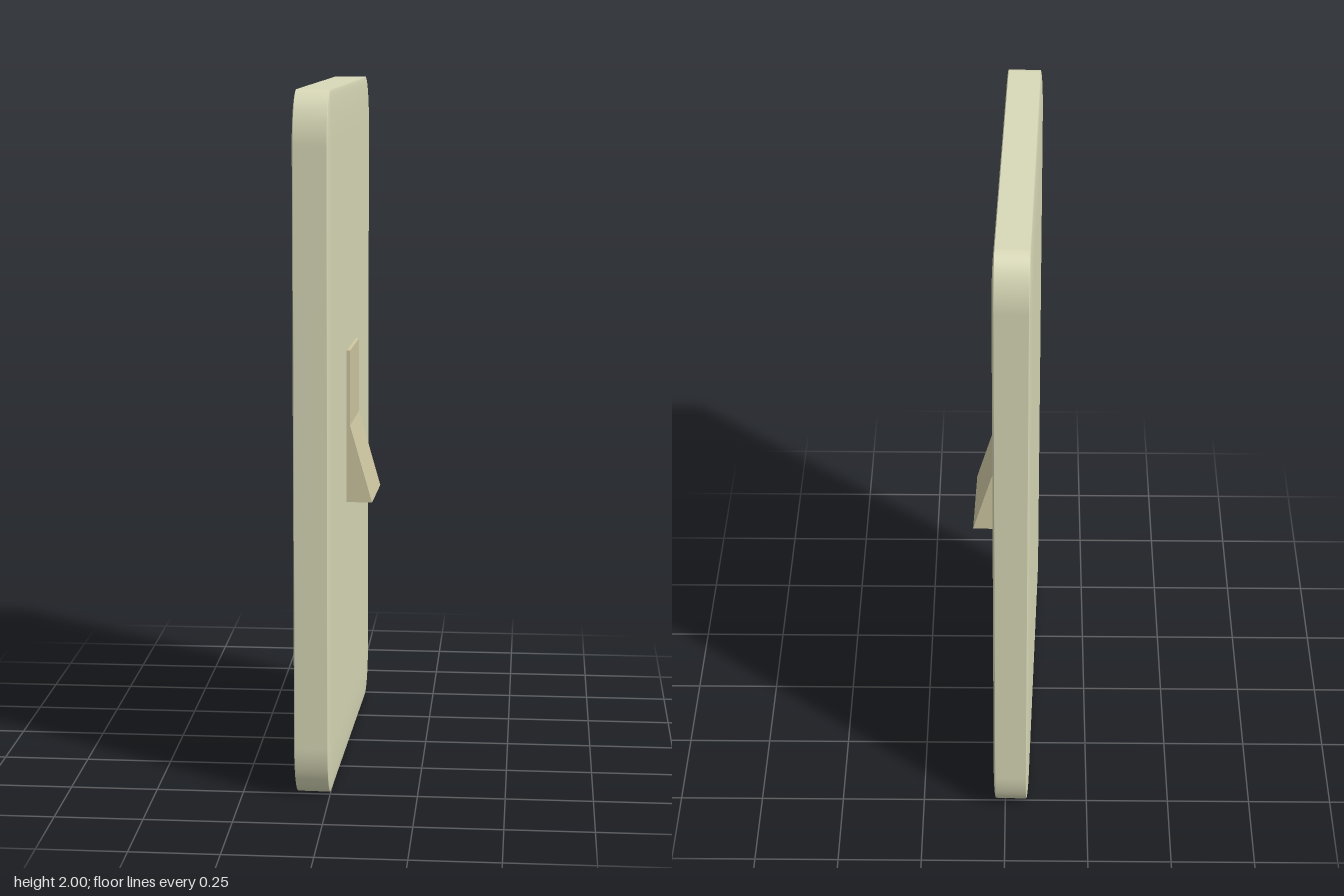
import * as THREE from 'three';
import { RoundedBoxGeometry } from 'three/addons/geometries/RoundedBoxGeometry.js';

const material = (color) => new THREE.MeshStandardMaterial({ color });

export function createModel() {
  const model = new THREE.Group();
  model.name = 'lightSwitch';

  // Everything hangs on a slightly turned mount
  const mount = new THREE.Group();
  mount.name = 'switchMount';
  mount.position.x = -0.033;
  mount.rotation.y = -0.03;
  model.add(mount);

  // Wall plate: a rounded cube squashed thin, so its corners turn elliptical
  const halfThickness = 0.054;
  const plateGeometry = new RoundedBoxGeometry(2, 2, 2, 10, 0.15);
  plateGeometry.scale(halfThickness, 1, 0.553);
  const plate = new THREE.Mesh(plateGeometry, material(0xd9d9b8));
  plate.name = 'wallPlate';
  plate.position.y = 1;
  mount.add(plate);

  // Rocker: side profile (x out of the plate, y up) extruded across z
  const width = 0.254;
  const profile = new THREE.Shape([
    [0.04, 0.775],
    [0.1295, 0.775],
    [0.064, 1.005],
    [0.064, 1.228],
    [0.04, 1.228],
  ].map(([x, y]) => new THREE.Vector2(x, y)));
  const rockerGeometry = new THREE.ExtrudeGeometry(profile, { depth: width, bevelEnabled: false });
  rockerGeometry.translate(0, 0, -width / 2);
  const rocker = new THREE.Mesh(rockerGeometry, material(0xcfc8a2));
  rocker.name = 'rocker';
  mount.add(rocker);

  return model;
}
